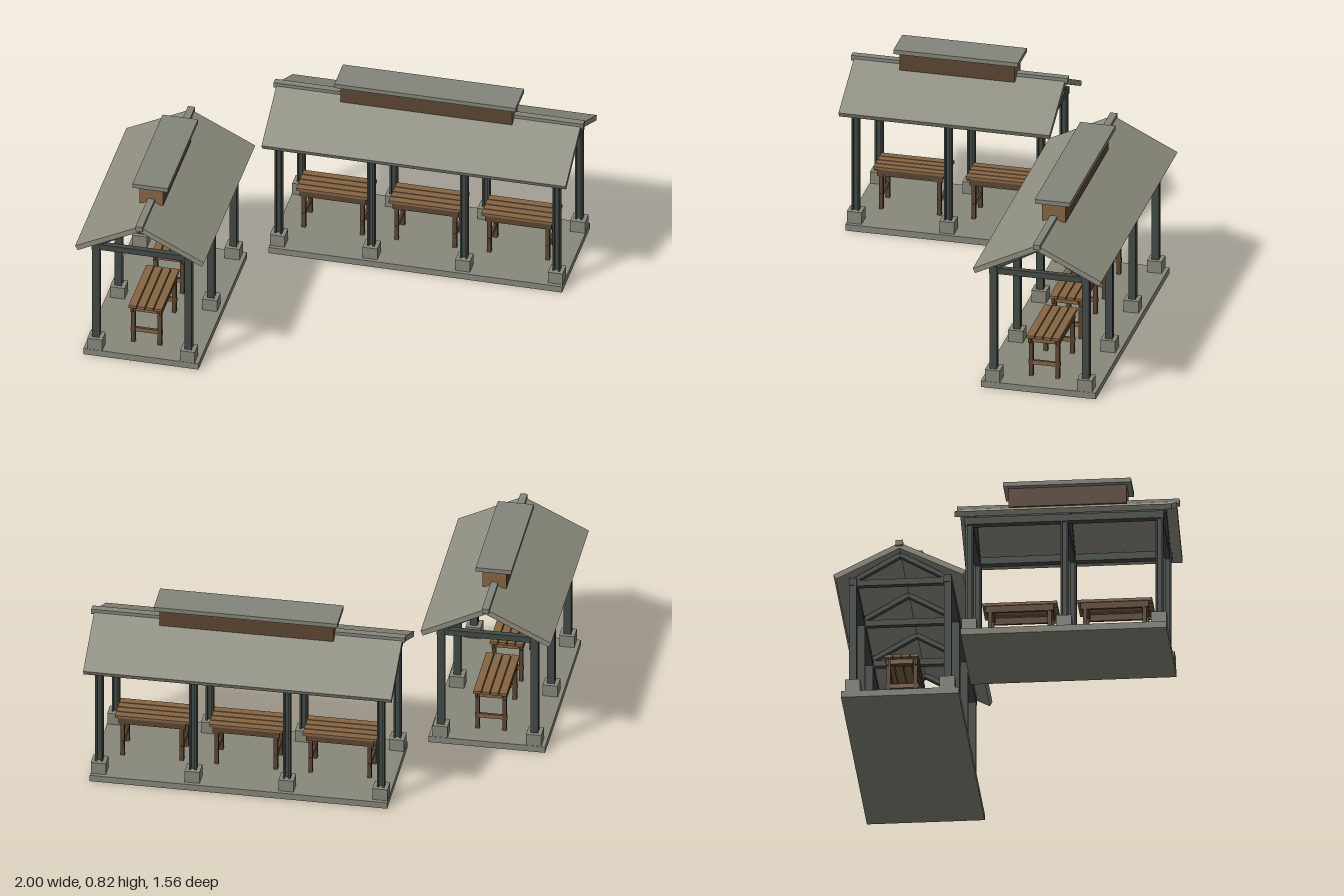
import * as THREE from 'three';

const mat = (name, color) => {
  const m = new THREE.MeshStandardMaterial({ color });
  m.name = name;
  return m;
};

export function createModel() {
  const roofing = mat('roof sheet', 0x8e8d80);
  const concrete = mat('concrete', 0x88887c);
  const trim = mat('roof trim', 0x84867c);
  const steel = mat('dark steel', 0x434a46);
  const darkWood = mat('dark wood', 0x5c4632);
  const lightWood = mat('light wood', 0x866544);

  const BAY = 0.419, HALF = 0.209;

  const box = (parent, name, material, size, pos, rotX = 0) => {
    const mesh = new THREE.Mesh(new THREE.BoxGeometry(...size), material);
    mesh.name = name;
    mesh.position.set(...pos);
    mesh.rotation.x = rotX;
    parent.add(mesh);
    return mesh;
  };
  // Sloping bar in the cross-section plane, from (z0, y0) to (z1, y1)
  const slope = (parent, name, material, length, thick, x, [z0, y0], [z1, y1]) =>
    box(parent, name, material, [length, thick, Math.hypot(z1 - z0, y1 - y0)],
      [x, (y0 + y1) / 2, (z0 + z1) / 2], -Math.atan2(y1 - y0, z1 - z0));

  // Pale end grain on the x ends, dark sides
  const endGrain = [lightWood, lightWood, darkWood, darkWood, darkWood, darkWood];

  function table(x) {
    const g = new THREE.Group();
    g.name = 'table';
    g.position.x = x;
    for (let i = 0; i < 4; i++)
      box(g, 'plank', lightWood, [0.33, 0.013, 0.034], [0, 0.2285, (i - 1.5) * 0.0385]);
    for (const s of [-1, 1]) {
      box(g, 'apron', darkWood, [0.3, 0.03, 0.012], [0, 0.207, s * 0.064]);
      box(g, 'topRail', endGrain, [0.03, 0.022, 0.1], [s * 0.132, 0.209, 0]);
      box(g, 'stretcher', endGrain, [0.012, 0.02, 0.144], [s * 0.132, 0.095, 0]);
      for (const t of [-1, 1])
        box(g, 'leg', darkWood, [0.018, 0.192, 0.018], [s * 0.132, 0.126, t * 0.06]);
    }
    return g;
  }

  // Steel post with an H section, standing on a concrete footing
  function post(x, z) {
    const g = new THREE.Group();
    g.name = 'post';
    g.position.set(x, 0, z);
    box(g, 'footing', concrete, [0.067, 0.057, 0.067], [0, 0.0575, 0]);
    for (const s of [-1, 1])
      box(g, 'flange', steel, [0.008, 0.47, 0.033], [s * 0.0125, 0.32, 0]);
    box(g, 'web', steel, [0.017, 0.47, 0.01], [0, 0.32, 0]);
    return g;
  }

  // Open pavilion with its ridge along x
  function pavilion(name, bays, ventLength) {
    const g = new THREE.Group();
    g.name = name;
    const L = bays * BAY;
    box(g, 'floorSlab', concrete, [L + 0.07, 0.03, 0.52], [0, 0.015, 0]);

    for (let i = 0; i <= bays; i++) {
      const x = i * BAY - L / 2;
      box(g, 'tieBeam', steel, [0.026, 0.028, HALF * 2], [x, 0.561, 0]);
      for (const s of [-1, 1]) {
        g.add(post(x, s * HALF));
        slope(g, 'rafter', steel, 0.026, 0.02, x, [0, 0.693], [s * 0.2, 0.578]);
      }
      if (i < bays) g.add(table(x + BAY / 2));
    }

    for (const s of [-1, 1]) {
      box(g, 'eaveBeam', steel, [L + 0.04, 0.033, 0.035], [0, 0.566, s * HALF]);
      slope(g, 'roofSlope', roofing, L + 0.118, 0.024, 0, [0, 0.715], [s * 0.286, 0.573]);
    }
    box(g, 'ridgeCap', trim, [L + 0.143, 0.024, 0.032], [0, 0.724, 0]);

    // Raised ridge vent with a flat lid
    box(g, 'ridgeVent', endGrain, [ventLength, 0.09, 0.107], [0, 0.753, 0]);
    box(g, 'ventLid', trim, [ventLength + 0.044, 0.02, 0.16], [0, 0.806, 0]);
    return g;
  }

  const model = new THREE.Group();
  model.name = 'picnicPavilions';
  const large = pavilion('largePavilion', 3, 0.775);
  large.position.set(0.297, 0, -0.486);
  const small = pavilion('smallPavilion', 2, 0.52);
  small.position.set(-0.709, 0, 0.288);
  small.rotation.y = Math.PI / 2;
  model.add(large, small);
  return model;
}
